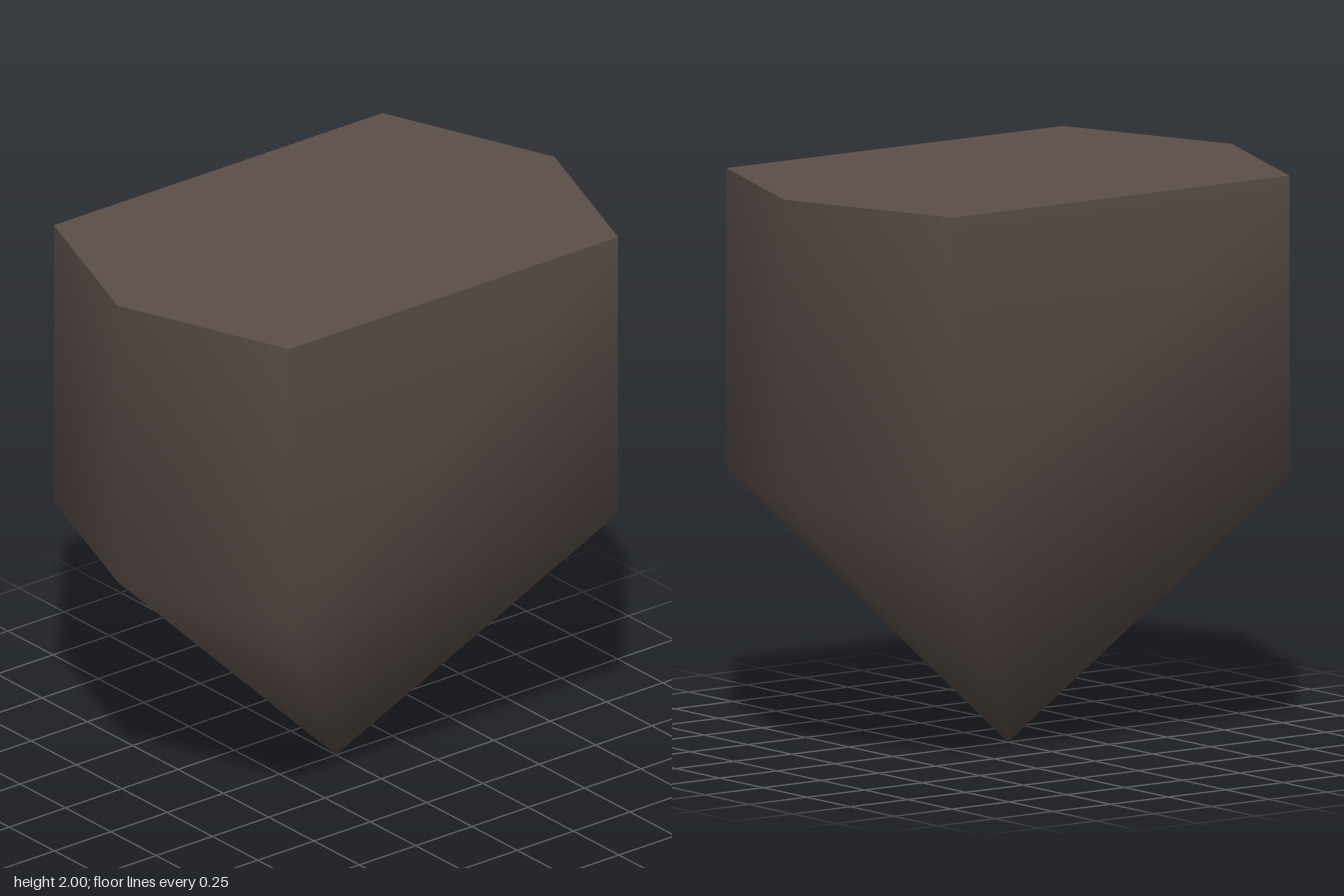
import * as THREE from 'three';

// Elongated hexagon outline as [x, z], running from +x towards +z
const OUTLINE = [[0.97, 0], [0.73, 0.65], [-0.73, 0.65], [-0.97, 0], [-0.73, -0.65], [0.73, -0.65]];
const TOP = 2, SHOULDER = 0.945;

function buildGeometry(positions, indices) {
  const geometry = new THREE.BufferGeometry();
  geometry.setAttribute('position', new THREE.Float32BufferAttribute(positions, 3));
  geometry.setIndex(indices);
  geometry.computeVertexNormals();
  return geometry;
}

// Straight walls and pointed underside: smooth below, creased at the four upper corners
function bodyGeometry() {
  const positions = [0, 0, 0], indices = [];
  const add = (x, y, z) => positions.push(x, y, z) / 3 - 1;
  const low = OUTLINE.map(([x, z]) => add(x, SHOULDER, z));
  const high = OUTLINE.map(([x, z]) => {
    const first = add(x, TOP, z);
    const second = z === 0 ? first : add(x, TOP, z);
    return [first, second]; // wall ending here, wall starting here
  });
  OUTLINE.forEach((_, i) => {
    const j = (i + 1) % OUTLINE.length;
    const a = high[i][1], b = high[j][0];
    indices.push(low[j], low[i], a, low[j], a, b); // wall
    indices.push(low[j], 0, low[i]); // slope to the tip
  });
  return buildGeometry(positions, indices);
}

// Flat hexagonal lid
function topGeometry() {
  const positions = [0, TOP, 0], indices = [];
  OUTLINE.forEach(([x, z], i) => {
    positions.push(x, TOP, z);
    indices.push(0, (i + 1) % OUTLINE.length + 1, i + 1);
  });
  return buildGeometry(positions, indices);
}

export function createModel() {
  const stone = new THREE.MeshStandardMaterial({ color: 0x5a4e48 });
  stone.name = 'dark brown stone';
  const model = new THREE.Group();
  model.name = 'pointedBlock';
  for (const [name, geometry] of [['pointedBody', bodyGeometry()], ['flatTop', topGeometry()]]) {
    const mesh = new THREE.Mesh(geometry, stone);
    mesh.name = name;
    model.add(mesh);
  }
  return model;
}
